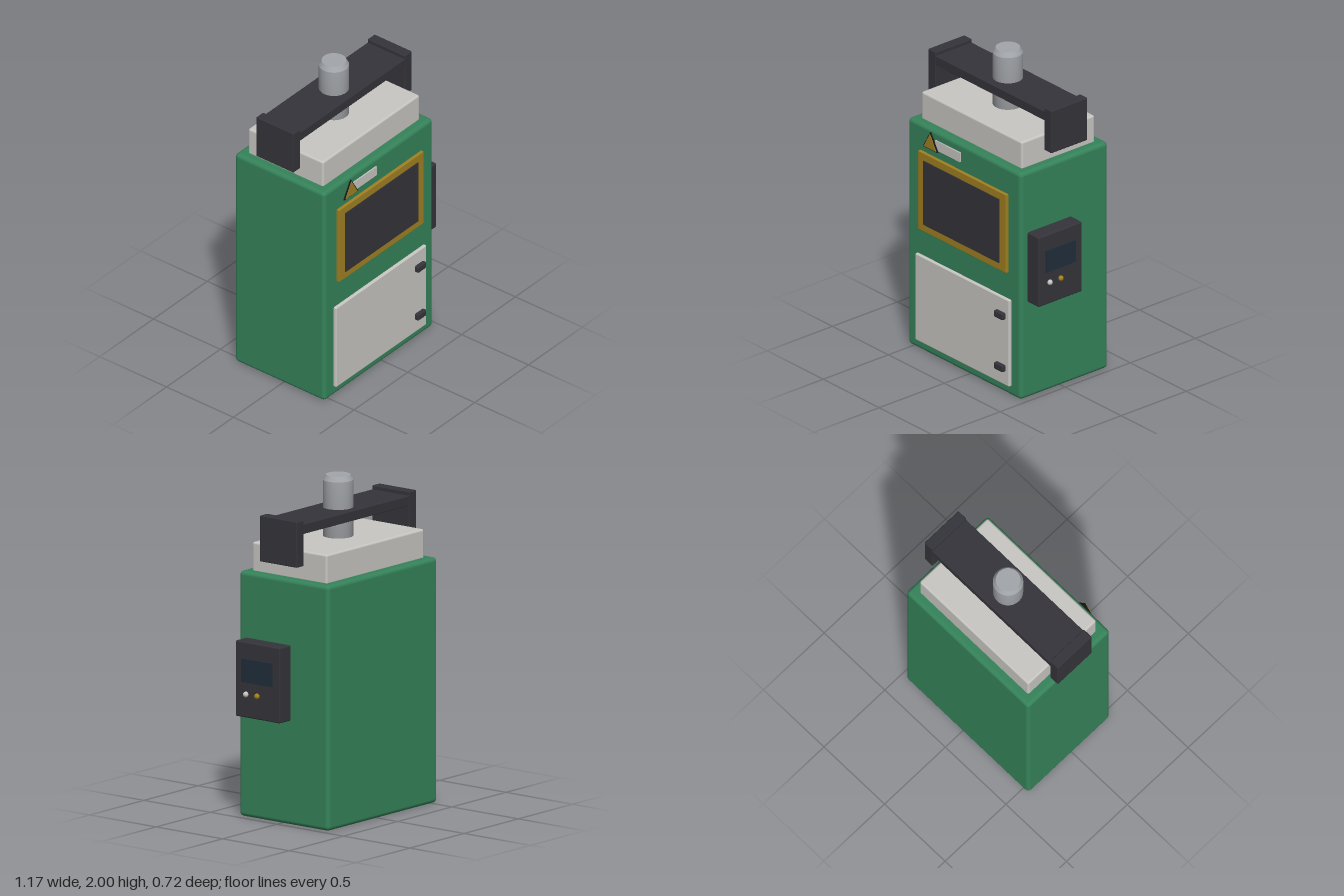
import * as THREE from 'three';
import { RoundedBoxGeometry } from 'three/addons/geometries/RoundedBoxGeometry.js';

const paint = (name, color) => {
  const m = new THREE.MeshStandardMaterial({ color });
  m.name = name;
  return m;
};

export function createModel() {
  const green = paint('green paint', 0x35835a);
  const pale = paint('pale grey', 0xc8c6c2);
  const dark = paint('charcoal', 0x35343a);
  const gold = paint('ochre', 0xa08022);
  const steel = paint('steel', 0xa2a5a9);
  const navy = paint('display navy', 0x212d3b);
  const black = paint('black', 0x18181a);

  const model = new THREE.Group();
  model.name = 'pressMachine';

  const add = (name, geometry, material, x = 0, y = 0, z = 0) => {
    const mesh = new THREE.Mesh(geometry, material);
    mesh.name = name;
    mesh.position.set(x, y, z);
    model.add(mesh);
    return mesh;
  };
  // Box given by its limits on each axis, with rounded edges when r > 0
  const box = (name, material, [x0, x1], [y0, y1], [z0, z1], r = 0) => {
    const s = [x1 - x0, y1 - y0, z1 - z0];
    const g = r ? new RoundedBoxGeometry(...s, 3, r) : new THREE.BoxGeometry(...s);
    return add(name, g, material, (x0 + x1) / 2, (y0 + y1) / 2, (z0 + z1) / 2);
  };

  const cx = -0.038, cz = -0.022; // axis of the cabinet and ram

  // Cabinet and raised deck
  box('cabinet', green, [-0.544, 0.467], [0, 1.465], [-0.36, 0.314], 0.025);
  box('topDeck', pale, [-0.487, 0.412], [1.455, 1.635], [-0.303, 0.258], 0.013);

  // Ram with a chamfered top
  const ram = [[0, 0], [0.089, 0], [0.089, 0.37], [0.089, 0.37], [0.072, 0.4], [0.072, 0.4], [0, 0.4]];
  add('ram', new THREE.LatheGeometry(ram.map(p => new THREE.Vector2(...p)), 40), steel, cx, 1.6, cz);

  // Crossbeam with an end block on each side
  box('crossbeam', dark, [-0.53, 0.454], [1.747, 1.806], [-0.161, 0.117], 0.004);
  for (const s of [-1, 1]) {
    const x = cx + s * 0.518;
    box(s < 0 ? 'rightEndBlock' : 'leftEndBlock', dark,
      [x - 0.033, x + 0.033], [1.555, 1.83], [-0.161, 0.118], 0.006);
  }

  // Window with its frame
  box('windowFrame', gold, [-0.43, 0.357], [0.79, 1.297], [0.305, 0.333], 0.004);
  box('windowPane', dark, [-0.377, 0.3], [0.837, 1.25], [0.331, 0.338]);

  // Lower door and latches
  box('door', pale, [-0.458, 0.384], [0.062, 0.622], [0.3, 0.333], 0.008);
  for (const y of [0.51, 0.173]) {
    box('doorLatch', dark, [0.274, 0.353], [y - 0.021, y + 0.021], [0.325, 0.358], 0.008);
  }

  // Warning triangle and label strip
  const triangle = (name, material, half, bottom, top, z, depth) => {
    const shape = new THREE.Shape();
    shape.moveTo(-half, bottom);
    shape.lineTo(half, bottom);
    shape.lineTo(0, top);
    add(name, new THREE.ExtrudeGeometry(shape, { depth, bevelEnabled: false }), material, -0.319, 0, z);
  };
  box('labelStrip', pale, [-0.29, -0.067], [1.35, 1.411], [0.313, 0.322]);
  triangle('warningBorder', black, 0.066, 1.344, 1.456, 0.326, 0.008);
  triangle('warningSign', gold, 0.055, 1.35, 1.444, 0.331, 0.007);

  // Control box on the left side, with display and two buttons
  box('controlBox', dark, [0.45, 0.565], [0.622, 1.073], [-0.075, 0.26], 0.008);
  box('controlDisplay', navy, [0.565, 0.574], [0.834, 0.974], [-0.019, 0.208]);
  for (const [name, material, z] of [['paleButton', pale, 0.177], ['ochreButton', gold, 0.093]]) {
    add(name, new THREE.SphereGeometry(0.017, 16, 12), material, 0.569, 0.762, z);
  }

  return model;
}
